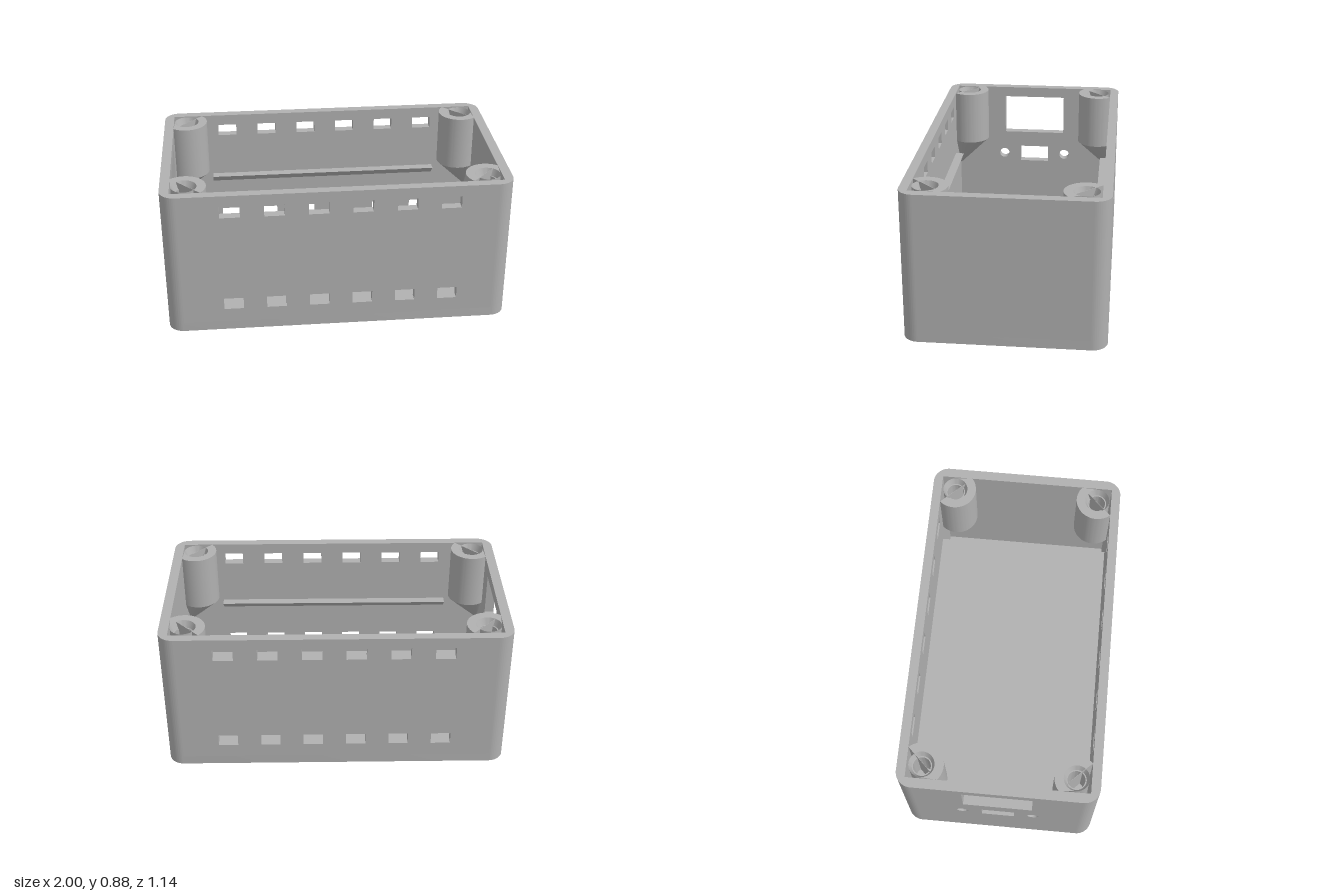
import * as THREE from 'three';
import { toCreasedNormals } from 'three/addons/utils/BufferGeometryUtils.js';

const X = 1, Z = 0.57, H = 0.885;      // outer half sizes and height
const IX = 0.944, IZ = 0.517;          // cavity half sizes
const R = 0.09, FLOOR = 0.055;         // corner radius, floor thickness
const CX = X - R, CZ = Z - R;          // corner arc centre
const BX = 0.864, BZ = 0.433, BR = 0.125, HOLE = 0.073; // screw boss

const extrude = (shape, depth) => toCreasedNormals(
  new THREE.ExtrudeGeometry(shape, { depth, bevelEnabled: false, curveSegments: 24 }), 0.6);

// Extrude a plan shape (x, z) between two heights
const extrudePlan = (shape, y0, y1) =>
  extrude(shape, y1 - y0).rotateX(Math.PI / 2).translate(0, y1, 0);

function rectPath(u0, v0, u1, v1, Type = THREE.Path) {
  return new Type([[u0, v0], [u1, v0], [u1, v1], [u0, v1]].map(p => new THREE.Vector2(...p)));
}

function circlePath(u, v, r) {
  return new THREE.Path().absarc(u, v, r, 0, Math.PI * 2, true);
}

export function createModel() {
  const model = new THREE.Group();
  model.name = 'enclosure';
  const grey = new THREE.MeshStandardMaterial({ color: 0xb0b0b0, side: THREE.DoubleSide });
  grey.name = 'grey plastic';

  const add = (name, geometry, parent = model) => {
    const mesh = new THREE.Mesh(geometry, grey);
    mesh.name = name;
    parent.add(mesh);
    return mesh;
  };

  // Floor plate with rounded corners
  const plan = new THREE.Shape();
  plan.absarc(CX, CZ, R, 0, Math.PI / 2);
  plan.absarc(-CX, CZ, R, Math.PI / 2, Math.PI);
  plan.absarc(-CX, -CZ, R, Math.PI, Math.PI * 1.5);
  plan.absarc(CX, -CZ, R, Math.PI * 1.5, Math.PI * 2);
  plan.closePath();
  add('floor', extrudePlan(plan, 0, FLOOR));

  // Long walls with two rows of vent slots
  const longWall = rectPath(-CX, FLOOR, CX, H, THREE.Shape);
  for (const y of [0.14, 0.747]) {
    for (let i = 0; i < 6; i++) {
      const x = -0.672 + i * 0.2505;
      longWall.holes.push(rectPath(x, y, x + 0.115, y + 0.072));
    }
  }
  add('frontWall', extrude(longWall, Z - IZ).translate(0, 0, IZ));
  add('backWall', extrude(longWall, Z - IZ).translate(0, 0, -Z));

  // End walls, one plain and one with connector openings
  const plainEnd = rectPath(-CZ, FLOOR, CZ, H, THREE.Shape);
  const portEnd = rectPath(-CZ, FLOOR, CZ, H, THREE.Shape);
  portEnd.holes.push(
    rectPath(-0.2, 0.565, 0.2, 0.82),
    rectPath(-0.095, 0.355, 0.095, 0.462),
    circlePath(-0.208, 0.408, 0.033),
    circlePath(0.208, 0.408, 0.033));
  add('leftEndWall', extrude(plainEnd, X - IX).rotateY(-Math.PI / 2).translate(X, 0, 0));
  add('rightEndWall', extrude(portEnd, X - IX).rotateY(-Math.PI / 2).translate(-IX, 0, 0));

  // Rounded wall corner around the square cavity corner
  const cornerShape = new THREE.Shape();
  cornerShape.moveTo(IX, CZ);
  cornerShape.lineTo(X, CZ);
  cornerShape.absarc(CX, CZ, R, 0, Math.PI / 2);
  cornerShape.lineTo(CX, IZ);
  cornerShape.lineTo(IX, IZ);
  cornerShape.closePath();
  const cornerGeometry = extrudePlan(cornerShape, FLOOR, H);

  // Screw boss: a round post cut off by the cavity corner
  const bossBottom = 0.547, coneTip = 0.325;
  const dx = IX - BX, dz = IZ - BZ;
  const a0 = Math.atan2(-Math.sqrt(BR * BR - dx * dx), dx);
  const a1 = Math.atan2(dz, -Math.sqrt(BR * BR - dz * dz));
  const bossShape = new THREE.Shape();
  bossShape.moveTo(IX, IZ);
  bossShape.absarc(BX, BZ, BR, a0, a1 - Math.PI * 2, true);
  bossShape.closePath();
  bossShape.holes.push(circlePath(BX, BZ, HOLE));
  const bossGeometry = extrudePlan(bossShape, bossBottom, H);

  // Tapered mouth and pilot hole
  const holeProfile = [[HOLE, H], [0.057, H - 0.04], [0.05, H - 0.04], [0.05, 0.6], [0, 0.6]]
    .map(p => new THREE.Vector2(...p));
  const holeGeometry = toCreasedNormals(new THREE.LatheGeometry(holeProfile, 48), 0.3)
    .translate(BX, 0, BZ);

  // Support cone under the boss, leaning into the cavity corner
  const coneHeight = bossBottom - coneTip;
  const cone = new THREE.CylinderGeometry(BR, 0.0005, coneHeight, 48, 1, true)
    .translate(BX, bossBottom - coneHeight / 2, BZ);
  const p = cone.attributes.position;
  for (let i = 0; i < p.count; i++) {
    const t = (bossBottom - p.getY(i)) / coneHeight;
    p.setX(i, p.getX(i) + dx * t);
    p.setZ(i, p.getZ(i) + dz * t);
  }
  const coneGeometry = toCreasedNormals(cone, 0.6);

  for (const sx of [1, -1]) {
    for (const sz of [1, -1]) {
      const corner = new THREE.Group();
      corner.name = (sz > 0 ? 'front' : 'back') + (sx > 0 ? 'Left' : 'Right') + 'Corner';
      corner.scale.set(sx, 1, sz);
      add('wallCorner', cornerGeometry, corner);
      add('screwBoss', bossGeometry, corner);
      add('screwHole', holeGeometry, corner);
      add('bossCone', coneGeometry, corner);
      model.add(corner);
    }
  }

  // Triangular board rails along the long walls
  const railTop = 0.475, railDepth = 0.054;
  const railShape = new THREE.Shape([
    new THREE.Vector2(0, railTop),
    new THREE.Vector2(0, railTop - railDepth),
    new THREE.Vector2(railDepth, railTop)]);
  for (const s of [1, -1]) {
    const rail = add(s > 0 ? 'frontRail' : 'backRail',
      extrude(railShape, 1.44).translate(0, 0, -0.72));
    rail.rotation.y = s * Math.PI / 2;
    // The shape's x axis points from the wall toward the middle
    rail.position.z = s * IZ;
  }
  return model;
}
